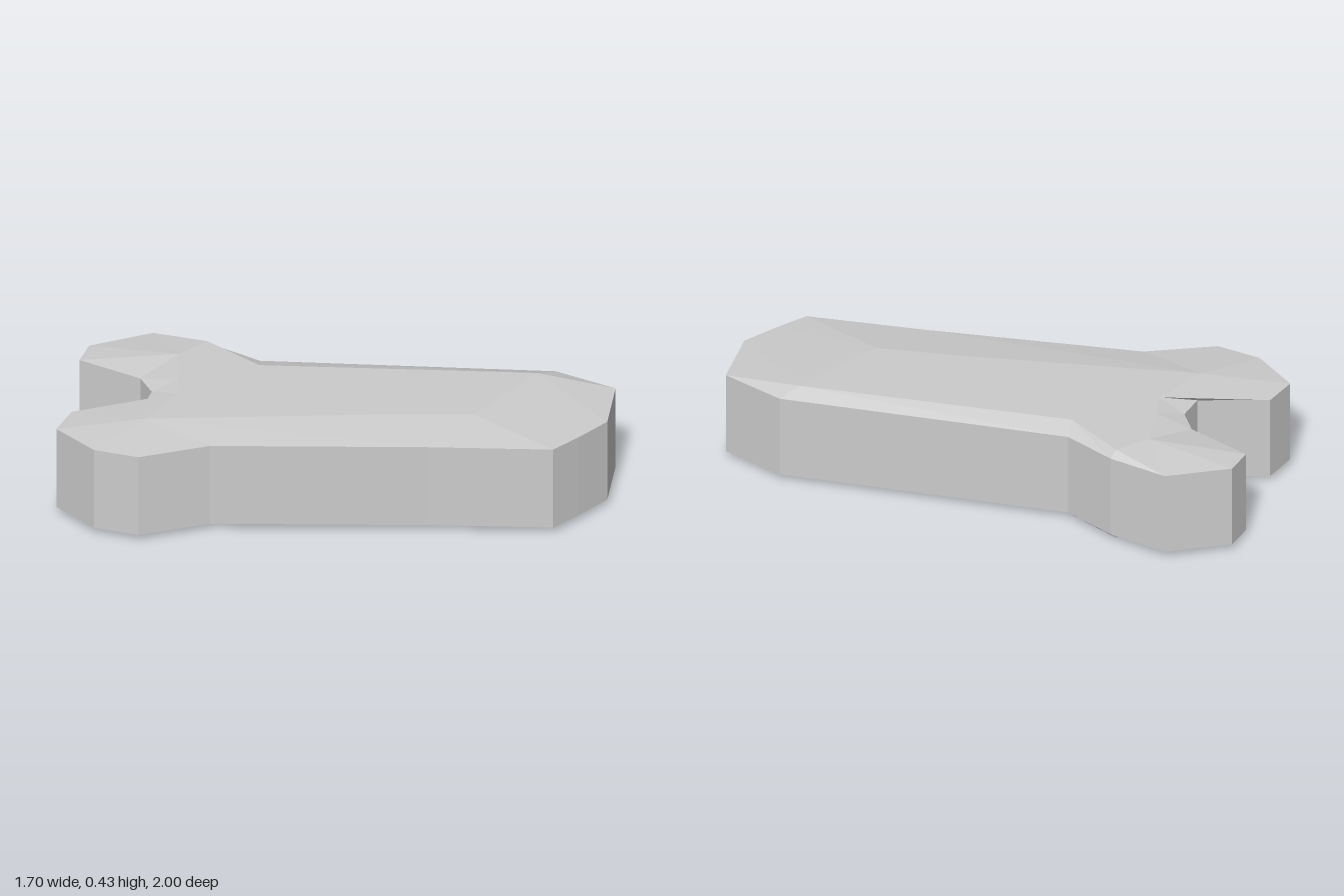
import * as THREE from 'three';

// Plan outline, each entry [x, z, index of the plateau corner it slopes up to]
const OUTLINE = [
  [-0.35, -0.96, 0], [-0.24, -1.0, 0], [0.0, -0.86, 0], [0.08, -0.62, 1],
  [0.105, -0.39, 2], [0.795, 0.59, 3], [0.845, 0.86, 3], [0.625, 0.995, 3],
  [0.46, 0.98, 4], [0.32, 0.96, 4], [0.02, 0.56, 5], [-0.53, -0.135, 6],
  [-0.78, -0.305, 6], [-0.85, -0.48, 6], [-0.82, -0.70, 6], [-0.68, -0.735, 6],
  [-0.46, -0.54, 7], [-0.355, -0.58, 7], [-0.305, -0.68, 8],
];
// Flat plateau on the top and bottom faces, [x, z]
const PLATEAU = [
  [-0.1, -0.65], [0.05, -0.62], [0.04, -0.34], [0.70, 0.57], [0.29, 0.57],
  [0.08, 0.31], [-0.57, -0.44], [-0.33, -0.455], [-0.245, -0.53],
];
const RIM = [0.03, 0.4], FACE = [0, 0.43];

function triangleSoup() {
  const positions = [];
  const tri = (a, b, c) => {
    if (!a.equals(b) && !b.equals(c) && !a.equals(c)) {
      for (const p of [a, b, c]) positions.push(p.x, p.y, p.z);
    }
  };
  const quad = (a, b, c, d) => { tri(a, b, c); tri(a, c, d); };
  return { positions, tri, quad };
}

function boneGeometry() {
  const { positions, tri, quad } = triangleSoup();
  const at = ([x, z], y) => new THREE.Vector3(x, y, z);

  OUTLINE.forEach((a, i) => {
    const b = OUTLINE[(i + 1) % OUTLINE.length];
    const ia = PLATEAU[a[2]], ib = PLATEAU[b[2]];
    // upright side wall
    quad(at(a, RIM[0]), at(a, RIM[1]), at(b, RIM[1]), at(b, RIM[0]));
    // sloping borders, above and below
    quad(at(a, RIM[1]), at(ia, FACE[1]), at(ib, FACE[1]), at(b, RIM[1]));
    quad(at(b, RIM[0]), at(ib, FACE[0]), at(ia, FACE[0]), at(a, RIM[0]));
  });

  // flat faces, turned so the upper looks up and the lower looks down
  const contour = PLATEAU.map(([x, z]) => new THREE.Vector2(x, z));
  for (const face of THREE.ShapeUtils.triangulateShape(contour, [])) {
    const p = face.map((k) => contour[k]);
    const order = THREE.ShapeUtils.area(p) < 0 ? face : [...face].reverse();
    const corners = order.map((k) => PLATEAU[k]);
    tri(...corners.map((c) => at(c, FACE[1])));
    tri(...corners.reverse().map((c) => at(c, FACE[0])));
  }

  const geometry = new THREE.BufferGeometry();
  geometry.setAttribute('position', new THREE.Float32BufferAttribute(positions, 3));
  geometry.computeVertexNormals();
  return geometry;
}

export function createModel() {
  const group = new THREE.Group();
  group.name = 'forkedBone';
  const material = new THREE.MeshStandardMaterial({ color: 0xcccccc, flatShading: true });
  const bone = new THREE.Mesh(boneGeometry(), material);
  bone.name = 'boneBody';
  group.add(bone);
  return group;
}
